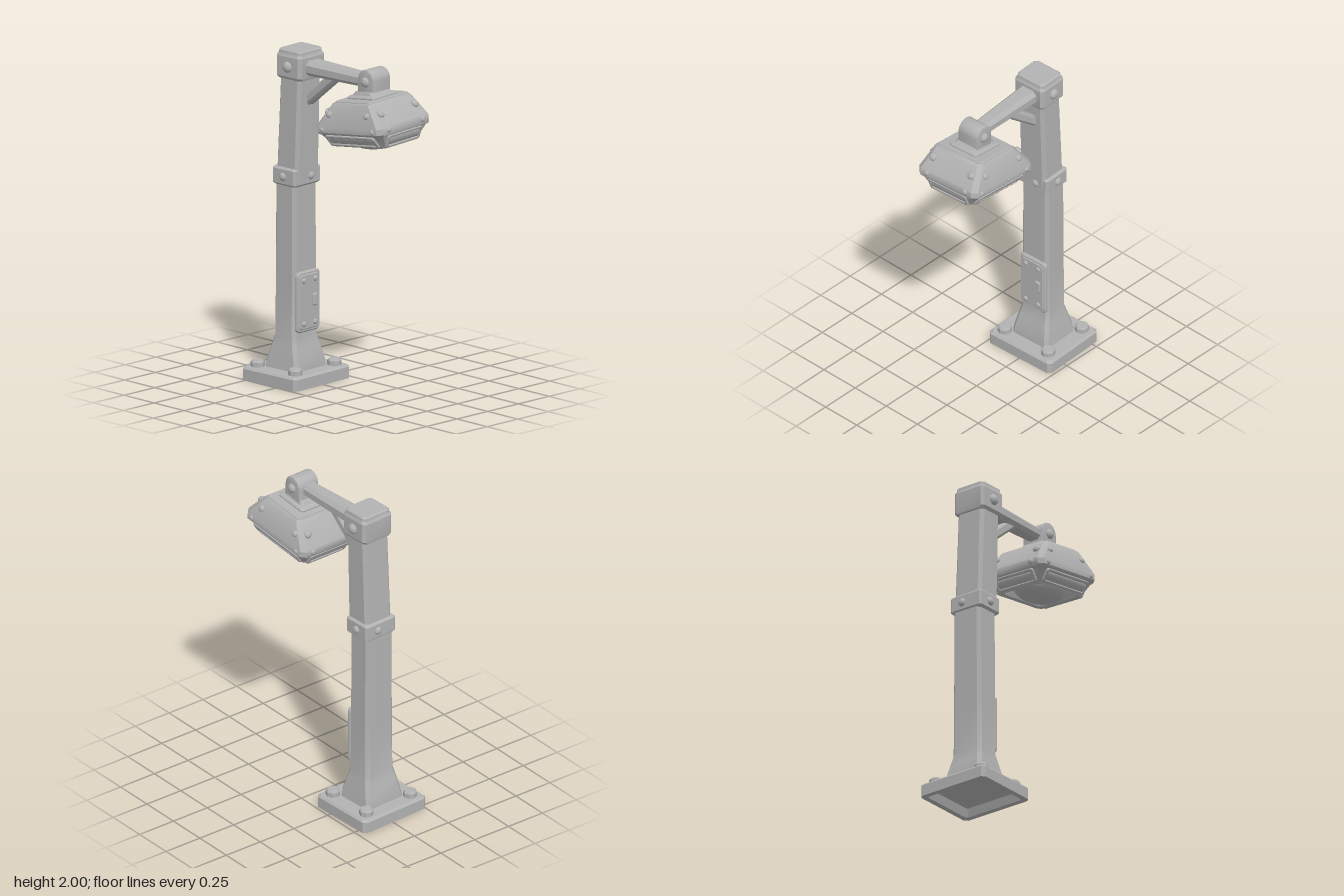
import * as THREE from 'three';
import { toCreasedNormals } from 'three/addons/utils/BufferGeometryUtils.js';

const grey = new THREE.MeshStandardMaterial({ color: 0xb2b2b2 });
grey.name = 'grey metal';

// Loft of chamfered rectangles; each ring is [y, width, depth, chamfer, x, z]
function loft(rings) {
  const pos = [];
  const pts = rings.map(([y, w, d, c = 0.012, x = 0, z = 0]) => {
    const a = w / 2, b = d / 2;
    return [[a, b - c], [a, c - b], [a - c, -b], [c - a, -b], [-a, c - b], [-a, b - c], [c - a, b], [a - c, b]]
      .map(([px, pz]) => [px + x, y, pz + z]);
  });
  const tri = (p, q, r) => pos.push(...p, ...q, ...r);
  for (let k = 0; k + 1 < pts.length; k++) {
    for (let i = 0; i < 8; i++) {
      const j = (i + 1) % 8, a = pts[k], b = pts[k + 1];
      tri(a[i], a[j], b[j]);
      tri(a[i], b[j], b[i]);
    }
  }
  const first = pts[0], last = pts[pts.length - 1];
  for (let i = 1; i < 7; i++) {
    tri(first[0], first[i + 1], first[i]);
    tri(last[0], last[i], last[i + 1]);
  }
  const g = new THREE.BufferGeometry();
  g.setAttribute('position', new THREE.Float32BufferAttribute(pos, 3));
  return toCreasedNormals(g, 0.5);
}

// Box with chamfered edges, standing on y = 0
const block = (w, h, d, c) => loft([
  [0, w - 2 * c, d - 2 * c, c], [c, w, d, c], [h - c, w, d, c], [h, w - 2 * c, d - 2 * c, c],
]);

function add(parent, name, geometry, x = 0, y = 0, z = 0) {
  const m = new THREE.Mesh(geometry, grey);
  m.name = name;
  m.position.set(x, y, z);
  parent.add(m);
  return m;
}

function group(parent, name, x = 0, y = 0, z = 0) {
  const g = new THREE.Group();
  g.name = name;
  g.position.set(x, y, z);
  parent.add(g);
  return g;
}

// Domed rivet pointing along a normal
function rivet(parent, r, p, n) {
  const g = new THREE.SphereGeometry(r, 12, 5, 0, Math.PI * 2, 0, Math.PI / 2).scale(1, 0.75, 1);
  const m = add(parent, 'rivet', g, ...p);
  m.quaternion.setFromUnitVectors(new THREE.Vector3(0, 1, 0), new THREE.Vector3(...n).normalize());
}

function roundedRect(target, w, h, r) {
  const a = w / 2, b = h / 2, q = Math.PI / 2;
  target.moveTo(a, r - b);
  target.absarc(a - r, b - r, r, 0, q);
  target.absarc(r - a, b - r, r, q, 2 * q);
  target.absarc(r - a, r - b, r, 2 * q, 3 * q);
  target.absarc(a - r, r - b, r, 3 * q, 4 * q);
  return target;
}

function plate(w, h, r, depth, bevel, hole) {
  const s = roundedRect(new THREE.Shape(), w - 2 * bevel, h - 2 * bevel, r);
  if (hole) s.holes.push(roundedRect(new THREE.Path(), w - hole, h - hole, r * 0.7));
  return new THREE.ExtrudeGeometry(s, {
    depth: depth - bevel, bevelEnabled: true, bevelSize: bevel, bevelThickness: bevel, bevelSegments: 1, curveSegments: 4,
  });
}

function buildPost(root) {
  const post = group(root, 'post', -0.012, 0, -0.328);
  post.rotation.y = 0.044;

  // Foot plate, hollow underneath
  add(post, 'basePlate', loft([
    [0.05, 0.38, 0.34, 0.01], [0, 0.41, 0.37, 0.01], [0, 0.478, 0.437, 0.02],
    [0.068, 0.478, 0.437, 0.02], [0.08, 0.454, 0.413, 0.02],
  ]));
  const boltProfile = [[0.042, 0], [0.042, 0.029], [0.033, 0.04], [0, 0.04]].map(p => new THREE.Vector2(...p));
  for (const sx of [-1, 1]) for (const sz of [-1, 1]) {
    const g = toCreasedNormals(new THREE.LatheGeometry(boltProfile, 8), 0.4);
    add(post, 'anchorBolt', g, sx * 0.167, 0.078, sz * 0.15);
  }

  // Flared lower shaft, then the narrower upper shaft leaning forward
  add(post, 'lowerShaft', loft([
    [0.07, 0.28, 0.255, 0.02], [0.12, 0.265, 0.25, 0.02], [0.21, 0.235, 0.2, 0.02],
    [0.27, 0.21, 0.168, 0.02], [0.6, 0.205, 0.166, 0.02], [1.24, 0.198, 0.163, 0.02],
  ]));
  add(post, 'upperShaft', loft([
    [1.22, 0.198, 0.175, 0.02, 0, 0.012], [1.9, 0.19, 0.165, 0.02, 0, 0.038],
  ]));

  // Collar with a rivet on every side
  add(post, 'collar', block(0.228, 0.11, 0.185, 0.012), 0, 1.18, 0.004);
  for (const s of [-1, 1]) {
    rivet(post, 0.026, [s * 0.112, 1.235, 0.002], [s, 0, 0]);
    rivet(post, 0.026, [0.024, 1.235, 0.004 + s * 0.09], [0, 0, s]);
  }

  // Cap
  add(post, 'cap', loft([
    [1.825, 0.2, 0.19, 0.018, 0, 0.035], [1.84, 0.222, 0.2, 0.018, 0, 0.036], [1.96, 0.222, 0.2, 0.018, 0, 0.036],
    [1.975, 0.205, 0.182, 0.018, 0, 0.036], [1.992, 0.203, 0.18, 0.018, 0, 0.036], [2, 0.186, 0.163, 0.018, 0, 0.036],
  ]));
  for (const s of [-1, 1]) rivet(post, 0.034, [s * 0.11, 1.9, 0.036], [s, 0, 0]);

  // Service hatch
  const hatch = group(post, 'hatch', 0.004, 0.483, 0.078);
  add(hatch, 'hatchPlate', plate(0.195, 0.365, 0.02, 0.022, 0.008));
  add(hatch, 'hatchPanel', plate(0.165, 0.33, 0.015, 0.027, 0.005));
  add(hatch, 'hatchHandle', plate(0.042, 0.075, 0.008, 0.038, 0.006), 0.045, 0.005, 0);
  for (const sx of [-1, 1]) for (const sy of [-1, 1]) rivet(hatch, 0.018, [sx * 0.048, sy * 0.13, 0.025], [0, 0, 1]);
}

function buildArm(root) {
  // Tapering horizontal arm
  add(root, 'arm', loft([
    [-0.26, 0.132, 0.092, 0.024, -0.008], [0.28, 0.094, 0.073, 0.02, 0.014],
  ]).rotateX(Math.PI / 2), 0, 1.897, 0);

  // Diagonal brace
  const strut = add(root, 'strut', loft([[-0.19, 0.07, 0.062, 0.014], [0.17, 0.07, 0.062, 0.014]]), 0, 1.775, -0.132);
  strut.rotation.x = 0.89;

  // Arched hanger with a pivot pin
  const arch = new THREE.Shape();
  arch.moveTo(-0.055, -0.1);
  arch.lineTo(0.055, -0.1);
  arch.absarc(0, 0.005, 0.055, 0, Math.PI);
  const hanger = group(root, 'hanger', 0.021, 1.908, 0.288);
  hanger.rotation.y = 0.03;
  const g = new THREE.ExtrudeGeometry(arch, {
    depth: 0.132, bevelEnabled: true, bevelSize: 0.008, bevelThickness: 0.008, bevelSegments: 2, curveSegments: 10,
  });
  add(hanger, 'hangerArch', toCreasedNormals(g.translate(0, 0, -0.066).rotateY(Math.PI / 2), 0.6));
  for (const s of [-1, 1]) rivet(hanger, 0.031, [s * 0.072, -0.005, 0], [s, 0, 0]);
}

function buildHead(root) {
  const head = group(root, 'lampHead', 0.018, 1.66, 0.28);
  head.rotation.set(-0.13, 0.045, 0.03, 'YXZ');

  // Shade with an open recess below
  add(head, 'shade', loft([
    [-0.09, 0.25, 0.35, 0.02], [-0.125, 0.27, 0.375, 0.02], [-0.13, 0.3, 0.41, 0.02],
    [-0.118, 0.312, 0.425, 0.02], [-0.05, 0.415, 0.495, 0.025], [-0.045, 0.435, 0.52, 0.03],
    [-0.035, 0.45, 0.53, 0.03], [0, 0.45, 0.53, 0.03], [0.01, 0.442, 0.52, 0.03],
    [0.125, 0.365, 0.335, 0.025, 0, 0.012], [0.138, 0.34, 0.305, 0.02, 0, 0.012],
  ]));
  add(head, 'topPlate', block(0.33, 0.022, 0.28, 0.006), 0, 0.125, 0.015);
  add(head, 'mountFlange', loft([
    [0.14, 0.212, 0.222, 0.015], [0.155, 0.212, 0.222, 0.015], [0.163, 0.195, 0.205, 0.015],
    [0.166, 0.17, 0.17, 0.015], [0.185, 0.155, 0.14, 0.015],
  ]), 0, 0, 0.02);

  // Bulging lens underneath
  const lens = new THREE.SphereGeometry(1, 20, 8, 0, Math.PI * 2, Math.PI / 2, Math.PI / 2).scale(0.135, 0.08, 0.185);
  add(head, 'lens', lens, 0, -0.088, 0);

  // Framed windows on the four lower slopes: [turn, reach, width, tilt]
  const sides = [[0, 0.229, 0.29, 0.49], [Math.PI, 0.229, 0.29, 0.49],
    [Math.PI / 2, 0.182, 0.39, 0.64], [-Math.PI / 2, 0.182, 0.39, 0.64]];
  for (const [turn, reach, w, tilt] of sides) {
    const side = group(head, 'window');
    side.rotation.y = turn;
    const tilted = group(side, 'windowFrameGroup', 0, -0.085, reach);
    tilted.rotation.x = tilt;
    add(tilted, 'windowFrame', plate(w, 0.09, 0.014, 0.012, 0.004, 0.03));
    add(tilted, 'windowGlass', new THREE.CylinderGeometry(0.028, 0.028, w - 0.035, 12)
      .rotateZ(Math.PI / 2).scale(1, 1, 0.35));
  }

  // Rivets on the slopes and along the rim
  for (const a of [-1, 1]) for (const b of [-1, 1]) {
    rivet(head, 0.025, [a * 0.147, 0.078, b * 0.207 + 0.006], [0, 0.6, b * 0.8]);
    rivet(head, 0.019, [a * 0.145, -0.012, b * 0.263], [0, 0, b]);
    rivet(head, 0.021, [a * 0.2, 0.072, b * 0.15], [a * 0.83, 0.55, 0]);
    rivet(head, 0.017, [a * 0.223, -0.018, b * 0.2], [a, 0, 0]);
  }
}

export function createModel() {
  const root = new THREE.Group();
  root.name = 'streetLamp';
  buildPost(root);
  buildArm(root);
  buildHead(root);
  return root;
}
